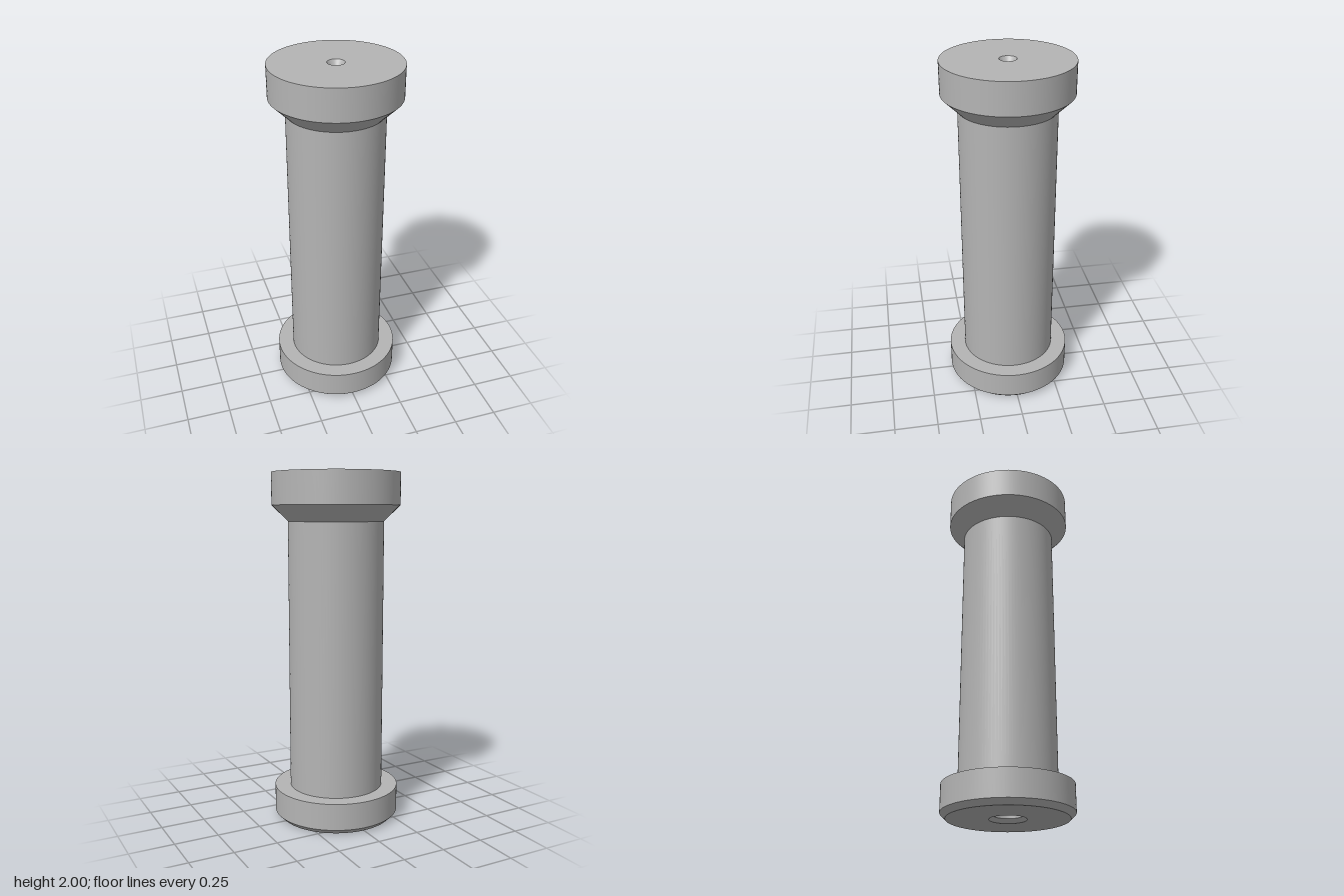
import * as THREE from 'three';
import { mergeGeometries } from 'three/addons/utils/BufferGeometryUtils.js';

const SEGMENTS = 96;

// Revolve each profile edge on its own so that the edges stay crisp and the walls smooth
function turned(name, profile, material) {
  const rings = [];
  for (let i = 0; i < profile.length - 1; i++) {
    const edge = [profile[i], profile[i + 1]].map(([r, y]) => new THREE.Vector2(r, y));
    rings.push(new THREE.LatheGeometry(edge, SEGMENTS));
  }
  const mesh = new THREE.Mesh(mergeGeometries(rings), material);
  mesh.name = name;
  return mesh;
}

export function createModel() {
  const steel = new THREE.MeshStandardMaterial({ color: 0xb4b4b4 });
  steel.name = 'steel grey';

  const flange = 0.363, shaft = 0.272, bore = 0.08, boreMouth = 0.102, centre = 0.048, pilot = 0.012;

  const group = new THREE.Group();
  group.name = 'flangedPin';
  group.add(
    // Blind bore with drill point and chamfered mouth
    turned('bottomBore', [[0, 0.5], [bore, 0.45], [bore, 0.022], [boreMouth, 0]], steel),
    // Base flange with a small lower chamfer
    turned('baseFlange', [[boreMouth, 0], [0.333, 0], [flange, 0.03], [flange, 0.183], [shaft, 0.183]], steel),
    turned('shaft', [[shaft, 0.183], [shaft, 1.73]], steel),
    // Head with a conical underside
    turned('head', [[shaft, 1.73], [flange, 1.82], [flange, 2], [centre, 2]], steel),
    // Conical centre hole with a narrow pilot
    turned('centreHole', [[centre, 2], [pilot, 1.938], [pilot, 1.91], [0, 1.903]], steel)
  );
  return group;
}
